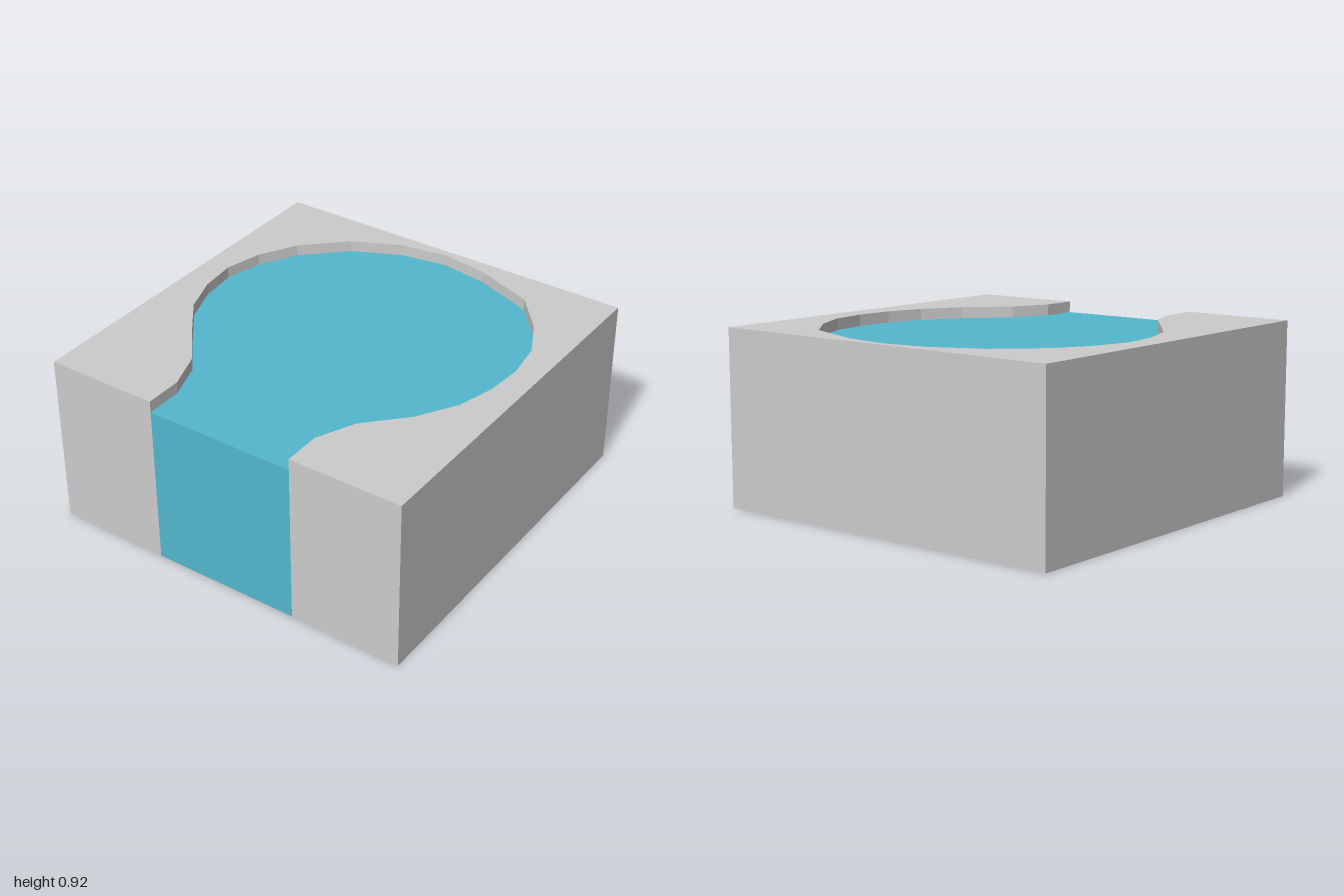
import * as THREE from 'three';

const BANK_TOP = 0.92, WATER_TOP = 0.86, MOUTH = 0.4;

// Shoreline as [x, z], from the left-hand side of the mouth round the back to the other side
const SHORE = [
  [-MOUTH, 1], [-0.4, 0.8], [-0.47, 0.6], [-0.63, 0.4], [-0.78, 0.2], [-0.85, 0],
  [-0.87, -0.2], [-0.82, -0.4], [-0.71, -0.6], [-0.5, -0.8], [-0.25, -0.92], [0, -0.96],
  [0.25, -0.92], [0.57, -0.8], [0.74, -0.6], [0.84, -0.4], [0.87, -0.2], [0.855, 0],
  [0.8, 0.2], [0.68, 0.4], [0.49, 0.6], [0.4, 0.8], [MOUTH, 1],
];

// Flat shape from [x, z] points; sign picks which way it will be laid down
const shapeOf = (points, sign) =>
  new THREE.Shape(points.map(([x, z]) => new THREE.Vector2(x, sign * z)));

export function createModel() {
  const stone = new THREE.MeshStandardMaterial({ color: 0xcccccc });
  stone.name = 'stone grey';
  const water = new THREE.MeshStandardMaterial({ color: 0x53b7ce });
  water.name = 'water blue';

  const model = new THREE.Group();
  model.name = 'pondTile';
  const add = (name, geometry, material) => {
    const mesh = new THREE.Mesh(geometry, material);
    mesh.name = name;
    model.add(mesh);
  };

  // Bank: square block with the pond cut out, open at the front
  const bankOutline = [...SHORE, [1, 1], [1, -1], [-1, -1], [-1, 1]];
  const bank = new THREE.ExtrudeGeometry(shapeOf(bankOutline, -1), { depth: BANK_TOP, bevelEnabled: false });
  add('bank', bank.rotateX(-Math.PI / 2), stone);

  // Water surface, a little below the bank
  const surface = new THREE.ShapeGeometry(shapeOf(SHORE, -1)).rotateX(-Math.PI / 2);
  add('waterSurface', surface.translate(0, WATER_TOP, 0), water);

  // Water face filling the mouth, flush with the front
  const face = new THREE.PlaneGeometry(2 * MOUTH, WATER_TOP);
  add('waterFront', face.translate(0, WATER_TOP / 2, 1), water);

  // Underside of the pond
  add('pondBase', new THREE.ShapeGeometry(shapeOf(SHORE, 1)).rotateX(Math.PI / 2), stone);

  return model;
}
